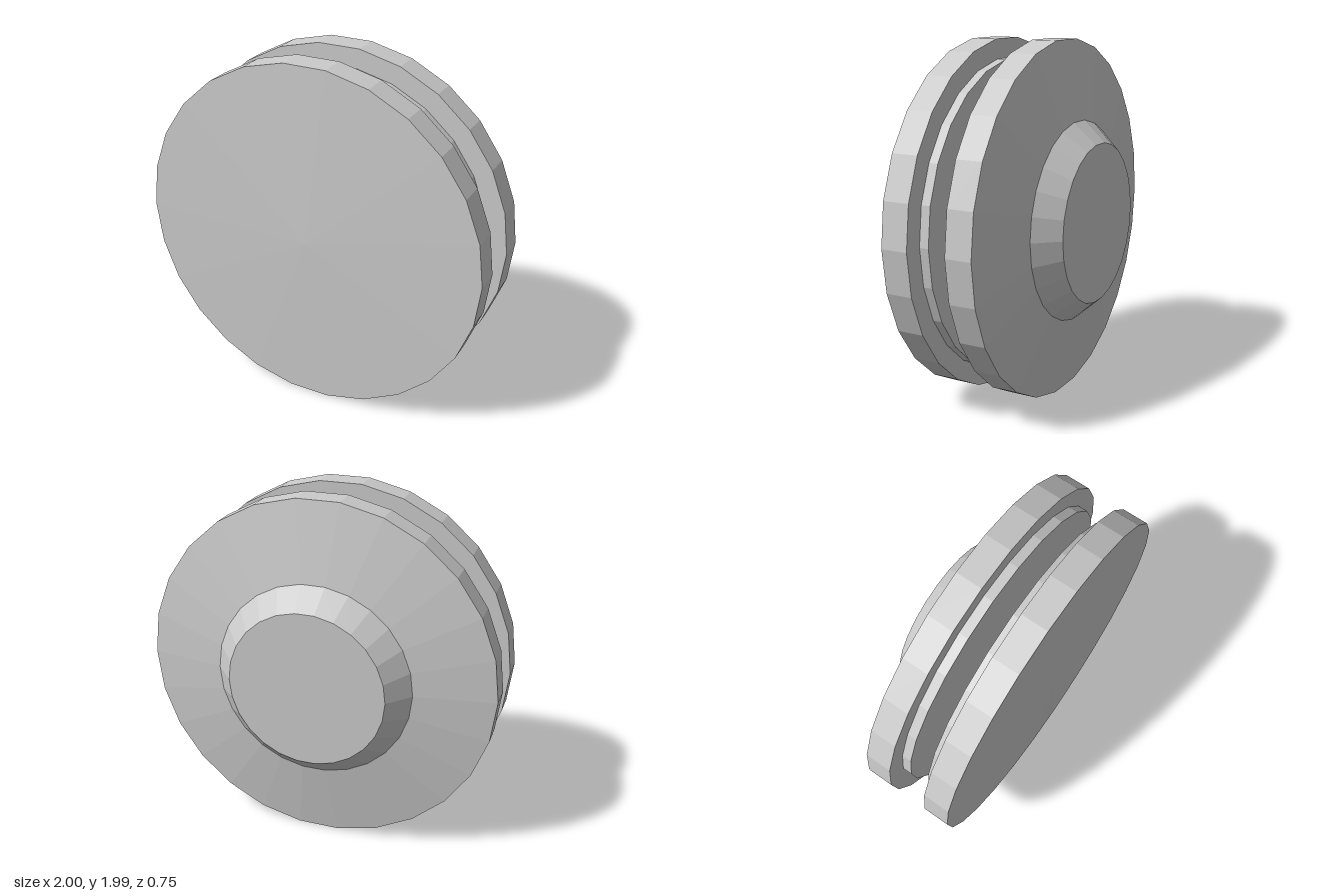
import * as THREE from 'three';

const SIDES = 26;
const CENTRE_Y = Math.cos(Math.PI / SIDES); // rests on a flat facet

// Faceted disc turned around the z axis; profile is [radius, z] from back to front
function turnedDisc(name, profile, material) {
  const points = profile.map(([r, z]) => new THREE.Vector2(r, z));
  const geometry = new THREE.LatheGeometry(points, SIDES, Math.PI / 2);
  geometry.rotateX(Math.PI / 2);
  const mesh = new THREE.Mesh(geometry, material);
  mesh.name = name;
  mesh.position.y = CENTRE_Y;
  return mesh;
}

export function createModel() {
  const group = new THREE.Group();
  group.name = 'splitDisc';
  const material = new THREE.MeshStandardMaterial({ color: 0xcccccc, flatShading: true });

  // Front half: stepped inner plate, wide rim, shallow domed face
  group.add(turnedDisc('frontDisc', [
    [0, 0.147], [0.89, 0.147], [0.89, 0.2], [1, 0.2], [1, 0.352], [0, 0.375],
  ], material));

  // Back half: raised hub, sloping shoulder, wide rim, stepped inner plate
  group.add(turnedDisc('backDisc', [
    [0, -0.375], [0.445, -0.375], [0.56, -0.247], [1, -0.171],
    [1, -0.022], [0.89, -0.022], [0.89, 0.032], [0, 0.032],
  ], material));

  return group;
}
